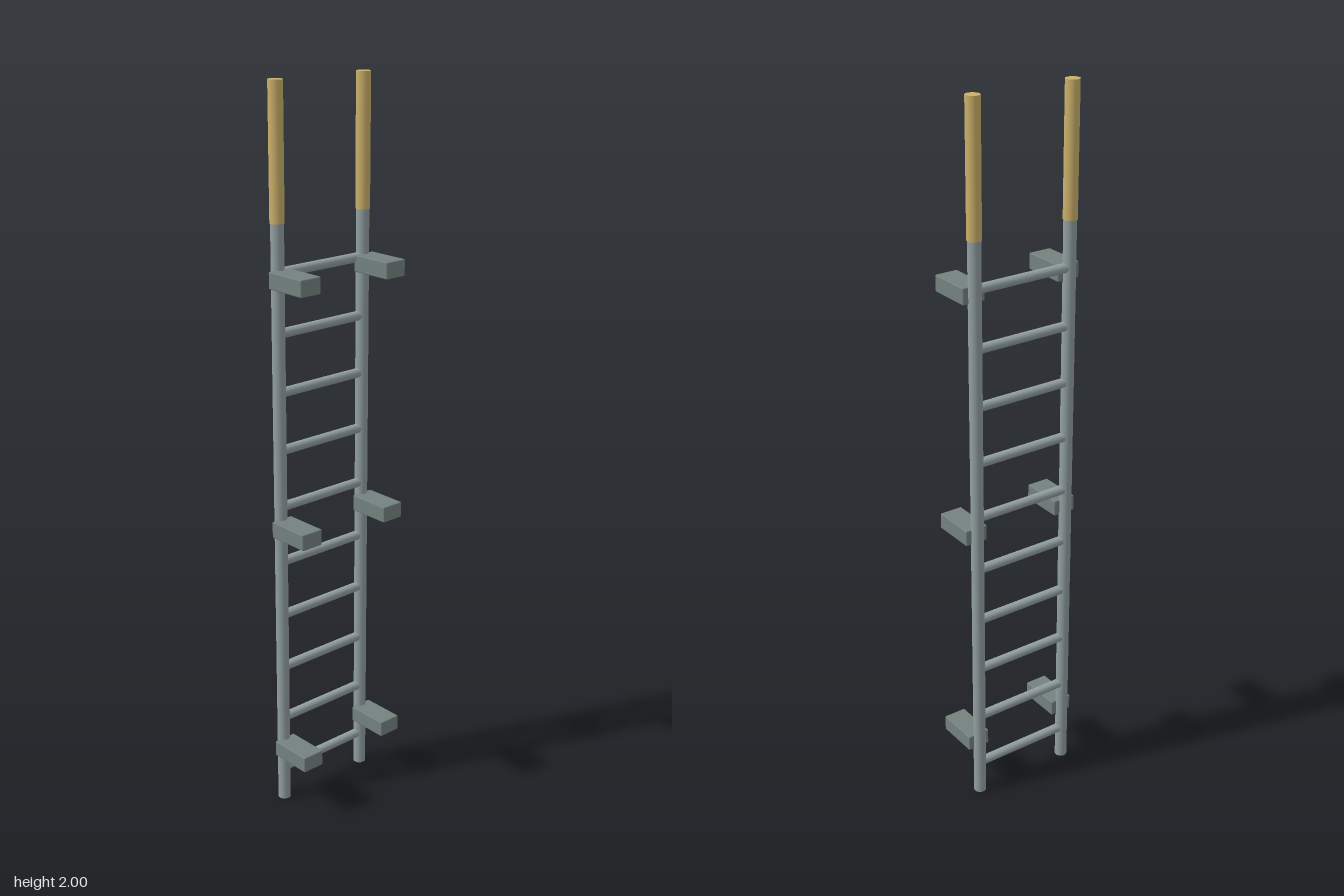
import * as THREE from 'three';
import { RoundedBoxGeometry } from 'three/addons/geometries/RoundedBoxGeometry.js';

const material = (name, color) => {
  const m = new THREE.MeshStandardMaterial({ color });
  m.name = name;
  return m;
};

export function createModel() {
  const group = new THREE.Group();
  group.name = 'wallLadder';
  const steel = material('galvanised steel', 0x929fa1);
  const darkSteel = material('bracket steel', 0x74827f);
  const grip = material('ochre grip', 0xcbb06a);

  const railX = -0.055, railZ = 0.145;
  const add = (name, geometry, mat, x, y, z) => {
    const mesh = new THREE.Mesh(geometry, mat);
    mesh.name = name;
    mesh.position.set(x, y, z);
    group.add(mesh);
    return mesh;
  };

  const railGeometry = new THREE.CylinderGeometry(0.0175, 0.0175, 1.66, 24);
  const gripGeometry = new THREE.CylinderGeometry(0.0192, 0.0192, 0.35, 24);
  const bracketGeometry = new RoundedBoxGeometry(0.125, 0.045, 0.066, 2, 0.003);
  const rungGeometry = new THREE.CylinderGeometry(0.013, 0.013, railZ * 2, 20).rotateX(Math.PI / 2);

  // Side rails with hand grips and wall brackets
  for (const [side, label] of [[1, 'front'], [-1, 'back']]) {
    const z = side * railZ;
    add(label + 'Rail', railGeometry, steel, railX, 0.83, z);
    add(label + 'Grip', gripGeometry, grip, railX, 1.825, z);
    [0.169, 0.834, 1.51].forEach((y, i) =>
      add(`${label}Bracket${i + 1}`, bracketGeometry, darkSteel, 0.0105, y, z));
  }

  // Evenly spaced rungs
  for (let i = 0; i < 10; i++) {
    add(`rung${i + 1}`, rungGeometry, steel, railX, 0.096 + i * 0.1586, 0);
  }
  return group;
}
